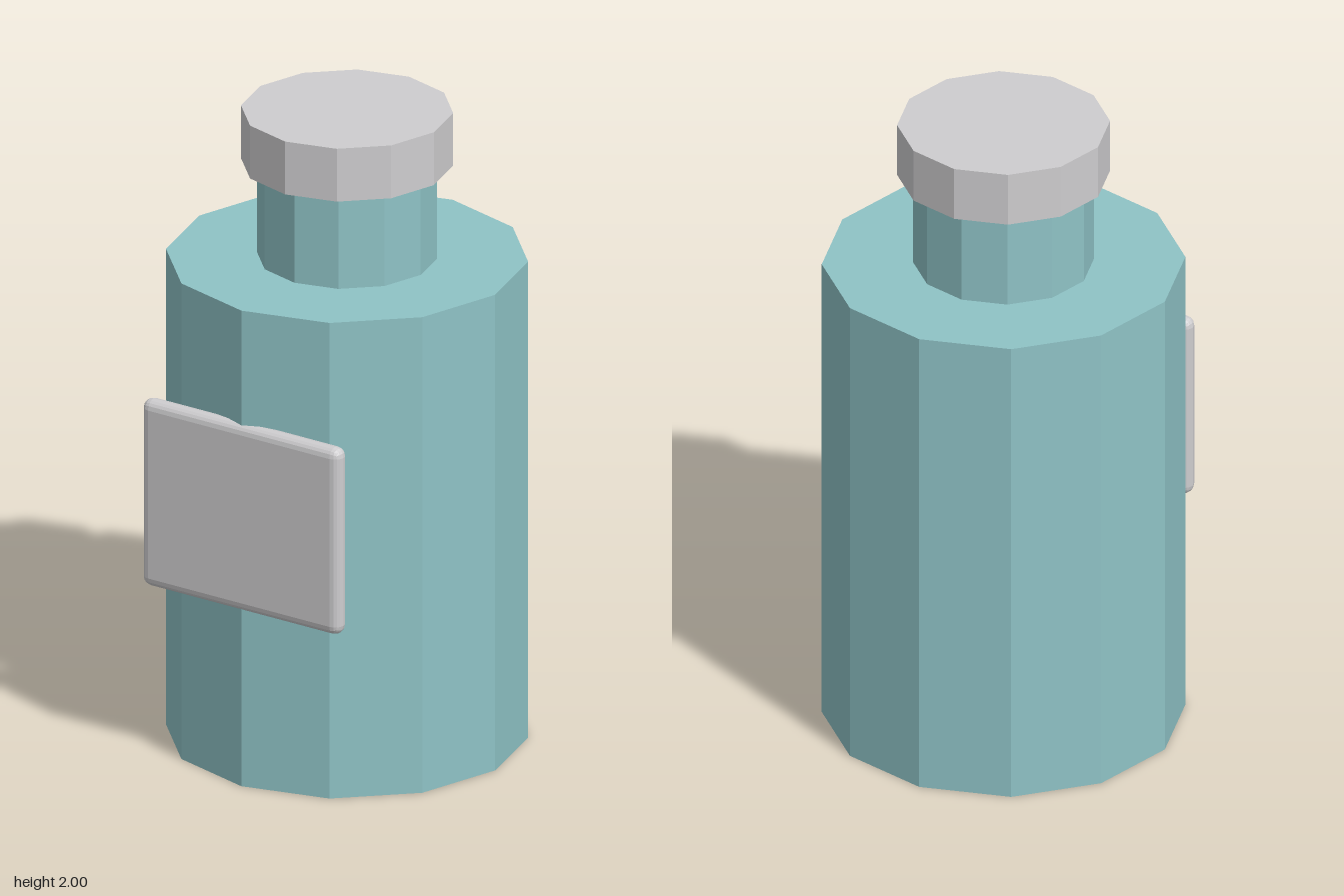
import * as THREE from 'three';
import { RoundedBoxGeometry } from 'three/addons/geometries/RoundedBoxGeometry.js';

export function createModel() {
  const group = new THREE.Group();
  group.name = 'bottle';

  const glass = new THREE.MeshStandardMaterial({ color: 0x8fc3c6 });
  glass.name = 'teal glass';
  const grey = new THREE.MeshStandardMaterial({ color: 0xcecdcf });
  grey.name = 'pale grey';
  glass.flatShading = grey.flatShading = true;

  const add = (name, geometry, material, y, z) => {
    const mesh = new THREE.Mesh(geometry, material);
    mesh.name = name;
    mesh.position.set(0, y, z);
    group.add(mesh);
  };

  // Stacked twelve-sided drums: name, radius, bottom, top, material
  const drums = [
    ['body', 0.543, 0, 1.53, glass],
    ['neck', 0.27, 1.53, 1.83, glass],
    ['cap', 0.318, 1.83, 2, grey],
  ];
  for (const [name, r, y0, y1, material] of drums) {
    add(name, new THREE.CylinderGeometry(r, r, y1 - y0, 12), material, (y0 + y1) / 2, -0.01);
  }

  // Flat label plate with rounded rim, set into the front edge of the body
  add('label', new RoundedBoxGeometry(0.725, 0.6, 0.06, 2, 0.03), grey, 0.865, 0.517);

  return group;
}
